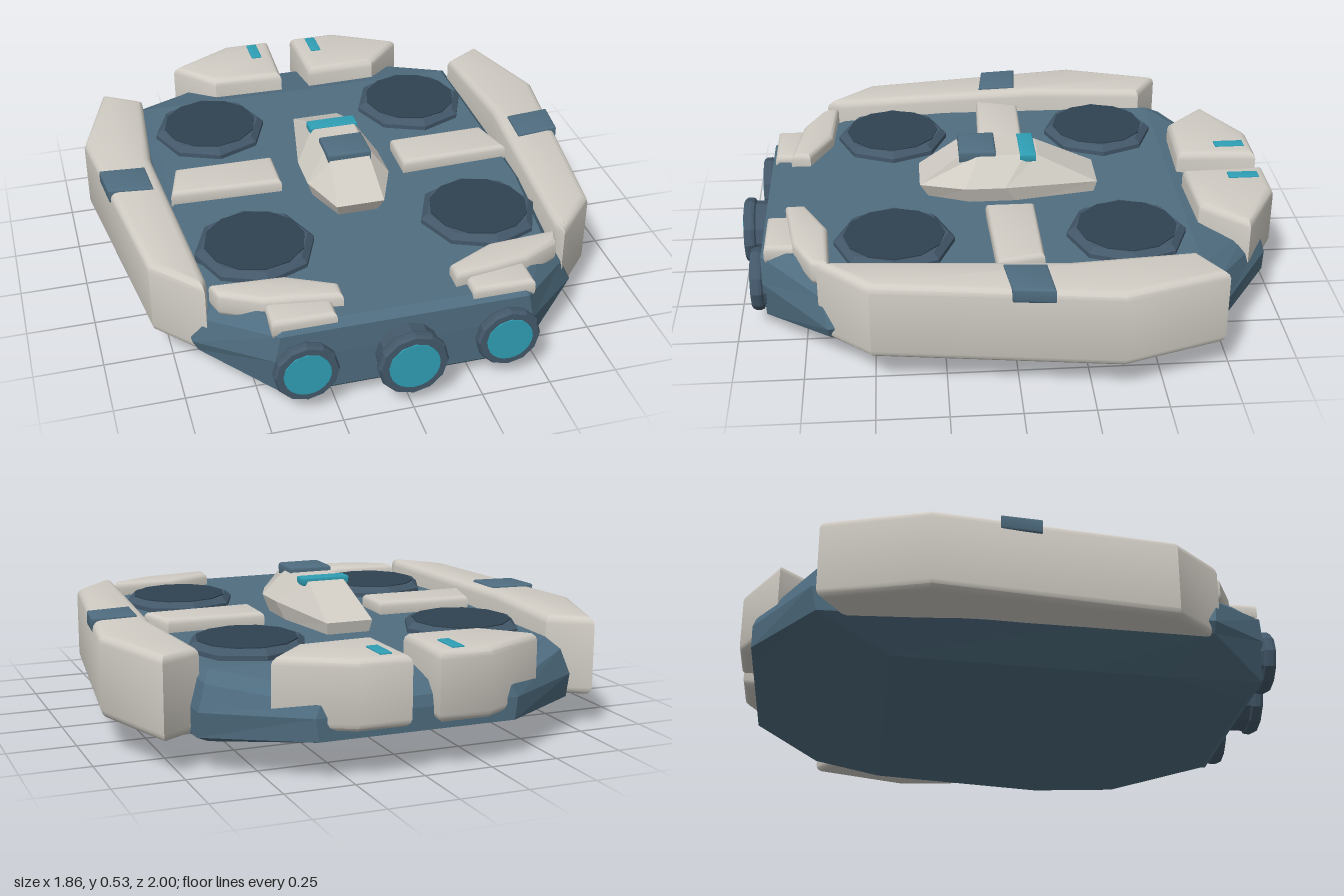
import * as THREE from 'three';
import { toCreasedNormals } from 'three/addons/utils/BufferGeometryUtils.js';

const paint = (color, flatShading = false) => new THREE.MeshStandardMaterial({ color, flatShading });
const blue = paint(0x4f6d80), blueFlat = paint(0x4f6d80, true);
const steel = paint(0x43586a, true), dark = paint(0x2f4250);
const white = paint(0xd0ccc4), whiteFlat = paint(0xd0ccc4, true);
const teal = paint(0x2f9fb5);

// Closed symmetric loft: each ring lists the +x half from front to back, bottom ring first.
function loft(halfRings) {
  const rings = halfRings.map(h => [...h, ...[...h].reverse().map(([x, y, z]) => [-x, y, z])]);
  const n = rings[0].length, half = n / 2, pos = [];
  const quad = (a, b, c, d) => pos.push(...a, ...b, ...c, ...a, ...c, ...d);
  for (let r = 0; r < rings.length - 1; r++) {
    for (let i = 0; i < n; i++) {
      const j = (i + 1) % n;
      quad(rings[r][i], rings[r][j], rings[r + 1][j], rings[r + 1][i]);
    }
  }
  const lo = rings[0], hi = rings[rings.length - 1];
  for (let i = 0; i < half - 1; i++) {
    quad(hi[i], hi[i + 1], hi[n - 2 - i], hi[n - 1 - i]);
    quad(lo[n - 1 - i], lo[n - 2 - i], lo[i + 1], lo[i]);
  }
  const geo = new THREE.BufferGeometry();
  geo.setAttribute('position', new THREE.Float32BufferAttribute(pos, 3));
  geo.computeVertexNormals();
  return geo;
}

// Plate with softened edges from a plan outline of [x, z] between two heights.
function plate(outline, y0, y1, bevel) {
  const shape = new THREE.Shape(outline.map(([x, z]) => new THREE.Vector2(x, -z)));
  const geo = new THREE.ExtrudeGeometry(shape, {
    depth: y1 - y0 - 2 * bevel, bevelEnabled: true, bevelThickness: bevel,
    bevelSize: bevel, bevelOffset: -bevel, bevelSegments: 3,
  });
  geo.rotateX(-Math.PI / 2).translate(0, y0 + bevel, 0);
  return toCreasedNormals(geo, 0.6);
}

const rect = (x0, x1, z0, z1) => [[x0, z0], [x1, z0], [x1, z1], [x0, z1]];

export function createModel() {
  const model = new THREE.Group();
  model.name = 'hoverCraft';
  const add = (name, geo, mat, parent = model) => {
    const mesh = new THREE.Mesh(geo, mat);
    mesh.name = name;
    parent.add(mesh);
    return mesh;
  };

  // Faceted hull: belly, lower chine, upper chine, shoulder, deck
  add('hull', loft([
    [[0.34, 0.035, 0.86], [0.57, 0.006, 0.52], [0.6, 0, 0.2], [0.58, 0.03, -0.46], [0.25, 0.13, -0.92]],
    [[0.43, 0.07, 0.895], [0.68, 0.13, 0.66], [0.7, 0.125, 0.2], [0.7, 0.13, -0.72], [0.36, 0.14, -0.95]],
    [[0.46, 0.22, 0.9], [0.7, 0.17, 0.66], [0.71, 0.2, 0.2], [0.7, 0.22, -0.74], [0.37, 0.22, -0.95]],
    [[0.44, 0.32, 0.9], [0.65, 0.27, 0.68], [0.68, 0.31, 0.2], [0.67, 0.31, -0.72], [0.35, 0.26, -0.94]],
    [[0.42, 0.345, 0.87], [0.6, 0.345, 0.62], [0.65, 0.345, 0.2], [0.64, 0.345, -0.66], [0.32, 0.3, -0.9]],
  ]), blueFlat);

  // Central cabin with sloped nose and tail
  const cabin = new THREE.Group();
  cabin.name = 'cabin';
  model.add(cabin);
  add('cabinShell', loft([
    [[0.07, 0.33, 0.28], [0.13, 0.33, 0.13], [0.13, 0.33, -0.05], [0.08, 0.33, -0.34]],
    [[0.09, 0.4, 0.32], [0.158, 0.41, 0.15], [0.158, 0.41, 0], [0.09, 0.39, -0.355]],
    [[0.075, 0.505, 0.175], [0.08, 0.51, 0.1], [0.08, 0.51, -0.08], [0.07, 0.5, -0.13]],
  ]), whiteFlat, cabin);
  add('roofHatch', plate(rect(-0.082, 0.082, 0.03, 0.17), 0.48, 0.53, 0.01), blue, cabin);
  add('cabinLight', plate(rect(-0.093, 0.093, -0.12, -0.06), 0.485, 0.515, 0.004), teal, cabin);

  // Engine nozzle: stepped barrel, rim and glowing disc
  const nozzle = (name, x, r, front) => {
    const group = new THREE.Group();
    group.name = name;
    group.position.set(x, 0.18, front);
    model.add(group);
    const profile = [[0, -0.14], [0.9, -0.14], [0.9, -0.045], [0.97, -0.04], [1, -0.03],
      [1, -0.012], [0.94, 0], [0.74, 0], [0.7, -0.012], [0, -0.012]];
    const barrel = new THREE.LatheGeometry(profile.map(([k, y]) => new THREE.Vector2(k * r, y)), 12);
    add('nozzleBarrel', barrel.rotateX(Math.PI / 2), steel, group);
    const glow = new THREE.CylinderGeometry(r * 0.72, r * 0.72, 0.014, 24).rotateX(Math.PI / 2);
    add('nozzleGlow', glow.translate(0, 0, -0.004), teal, group);
  };
  nozzle('centreNozzle', 0, 0.125, 0.995);

  for (const [side, s] of [['left', 1], ['right', -1]]) {
    const flip = pts => pts.map(([x, z]) => [s * x, z]);
    const part = (name, pts, y0, y1, bevel, mat) =>
      add(side + name, plate(flip(pts), y0, y1, bevel), mat);

    // Long side armour and its clamp
    part('SideArmour', [[0.81, -0.72], [0.93, -0.35], [0.815, 0.51], [0.65, 0.69],
      [0.635, 0.63], [0.695, -0.18], [0.66, -0.63]], 0.12, 0.415, 0.03, white);
    part('ArmourClamp', [[0.73, -0.1], [0.9, -0.115], [0.885, 0.03], [0.72, 0.05]], 0.37, 0.425, 0.008, blue);

    // Rear armour block and light strip
    part('RearBlock', [[0.05, -1], [0.24, -1], [0.49, -0.86], [0.34, -0.7], [0.06, -0.69]],
      0.17, 0.417, 0.03, white);
    part('RearLight', rect(0.11, 0.152, -0.965, -0.85), 0.4, 0.423, 0.003, teal);

    // Front armour: swept shoulder plate and brow over the nozzle
    part('FrontShoulder', [[0.2, 0.82], [0.2, 0.745], [0.37, 0.66], [0.63, 0.645],
      [0.61, 0.71], [0.47, 0.78], [0.34, 0.8]], 0.3, 0.395, 0.022, white);
    part('FrontBrow', rect(0.24, 0.465, 0.76, 0.885), 0.3, 0.372, 0.02, white);

    // Deck plate beside the cabin
    part('DeckPlate', [[0.24, -0.1], [0.615, -0.105], [0.66, 0.065], [0.24, 0.08]], 0.32, 0.395, 0.02, white);

    nozzle(side + 'Nozzle', s * 0.36, 0.115, 0.945);

    // Octagonal lift pads with recessed-looking dark discs
    for (const z of [0.42, -0.42]) {
      const pad = new THREE.Group();
      pad.name = side + (z > 0 ? 'FrontPad' : 'RearPad');
      pad.position.set(s * 0.42, 0, z);
      model.add(pad);
      const ring = new THREE.CylinderGeometry(0.195, 0.218, 0.02, 8).translate(0, 0.372, 0);
      add('padRim', ring, steel, pad);
      add('padBase', new THREE.CylinderGeometry(0.218, 0.218, 0.05, 8).translate(0, 0.337, 0), steel, pad);
      add('padDisc', new THREE.CylinderGeometry(0.182, 0.182, 0.02, 12).translate(0, 0.376, 0), dark, pad);
    }
  }
  return model;
}
